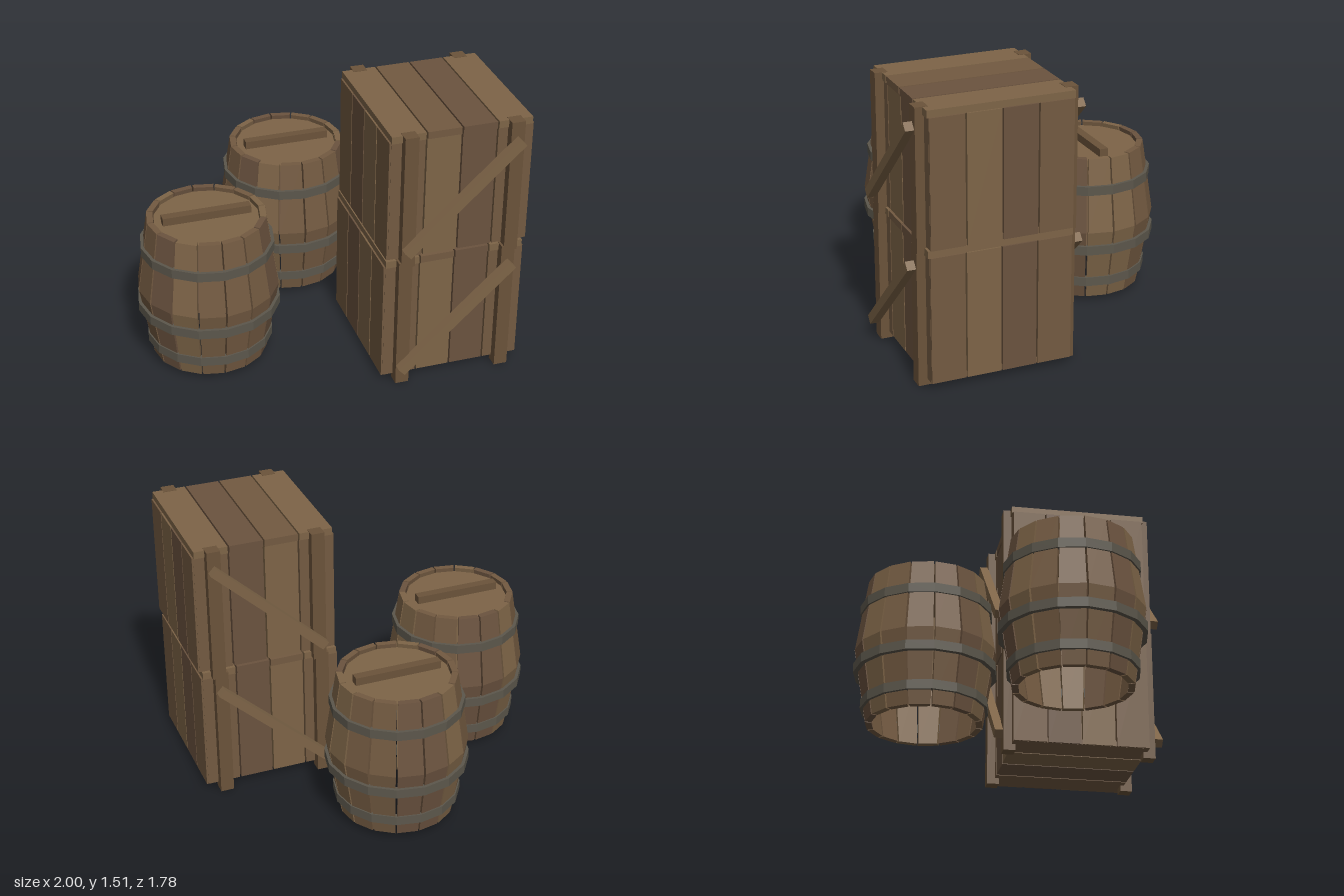
import * as THREE from 'three';

const wood = (color) => new THREE.MeshStandardMaterial({ color, flatShading: true });
const LIGHT = wood(0x7d6447), MID = wood(0x735a41), DARK = wood(0x6b533f), BEAM = wood(0x6b533a);
const IRON = wood(0x5c574c);
const TONES = [MID, LIGHT, DARK, MID];

function add(parent, name, geometry, material, x = 0, y = 0, z = 0) {
  const mesh = new THREE.Mesh(geometry, material);
  mesh.name = name;
  mesh.position.set(x, y, z);
  parent.add(mesh);
  return mesh;
}
const box = (w, h, d) => new THREE.BoxGeometry(w, h, d);

// ---- Barrel ----
const STAVES = 16, BOTTOM = 0.03, TOP = 0.86;

// One bulging stave: a box bent onto the barrel's wall
function staveGeometry() {
  const g = new THREE.BoxGeometry(1, 1, 1, 1, 2, 1);
  const p = g.attributes.position;
  const half = Math.PI / STAVES - 0.014;
  for (let i = 0; i < p.count; i++) {
    const y = p.getY(i);
    const outer = y > 0.1 ? 0.327 : y < -0.1 ? 0.32 : 0.39;
    const r = p.getZ(i) > 0 ? outer : outer - 0.035;
    const a = p.getX(i) * 2 * half;
    p.setXYZ(i, Math.sin(a) * r, BOTTOM + (y + 0.5) * (TOP - BOTTOM), Math.cos(a) * r);
  }
  g.computeVertexNormals();
  return g;
}

// Flat iron band with a rectangular section
function hoopGeometry(r) {
  const h = 0.026, t = 0.03;
  const section = [[r - t, -h], [r, -h], [r, h], [r - t, h], [r - t, -h]];
  return new THREE.LatheGeometry(section.map(([x, y]) => new THREE.Vector2(x, y)), STAVES);
}

function createBarrel(name, x, z) {
  const barrel = new THREE.Group();
  barrel.name = name;
  barrel.position.set(x, 0, z);
  const stave = staveGeometry();
  for (let i = 0; i < STAVES; i++) {
    const mesh = add(barrel, 'stave', stave, TONES[(i * 7 + (i >> 2)) % 4]);
    mesh.rotation.y = ((i + 0.5) / STAVES) * Math.PI * 2;
  }
  for (const [y, r] of [[0.132, 0.35], [0.34, 0.395], [0.686, 0.368]]) {
    add(barrel, 'hoop', hoopGeometry(r), IRON, 0, y, 0);
  }
  add(barrel, 'lid', new THREE.CylinderGeometry(0.288, 0.288, 0.04, STAVES), LIGHT, 0, 0.82, 0);
  add(barrel, 'lidBar', box(0.49, 0.05, 0.05), BEAM, 0, 0.86, 0);
  return barrel;
}

// ---- Crate ----
function createCrate(name, x, y, z) {
  const crate = new THREE.Group();
  crate.name = name;
  crate.position.set(x, y, z);
  const pitch = 0.195, width = 0.186, wallH = 0.695, wallY = 0.383;

  for (let i = 0; i < 4; i++) {
    const at = (i - 1.5) * pitch;
    // Upright wall planks
    for (const s of [-1, 1]) {
      add(crate, 'endPlank', box(width, wallH, 0.03), TONES[i], at, wallY, s * 0.372);
      add(crate, 'sidePlank', box(0.03, wallH, width), TONES[3 - i], s * 0.38, wallY, at);
    }
    // Lid and floor planks run front to back
    add(crate, 'lidPlank', box(width, 0.04, 0.79), [LIGHT, MID, DARK, LIGHT][i], at, 0.748, 0);
    add(crate, 'floorPlank', box(width, 0.03, 0.77), TONES[i], at, 0.05, 0);
  }

  for (const s of [-1, 1]) {
    // Corner posts, front and back
    for (const side of [-1, 1]) {
      add(crate, 'post', box(0.075, 0.77, 0.07), BEAM, side * 0.29, 0.385, s * 0.4);
    }
    // Diagonal brace laid over the posts
    const brace = add(crate, 'brace', box(0.84, 0.05, 0.05), LIGHT, -0.002, 0.385, s * 0.457);
    brace.rotation.z = 0.75;
  }
  return crate;
}

export function createModel() {
  const model = new THREE.Group();
  model.name = 'barrelsAndCrates';
  model.add(
    createBarrel('frontBarrel', -0.605, 0.19),
    createBarrel('backBarrel', 0.05, -0.5),
    createCrate('lowerCrate', 0.592, 0, 0.405),
    createCrate('upperCrate', 0.604, 0.74, 0.405),
  );
  return model;
}
